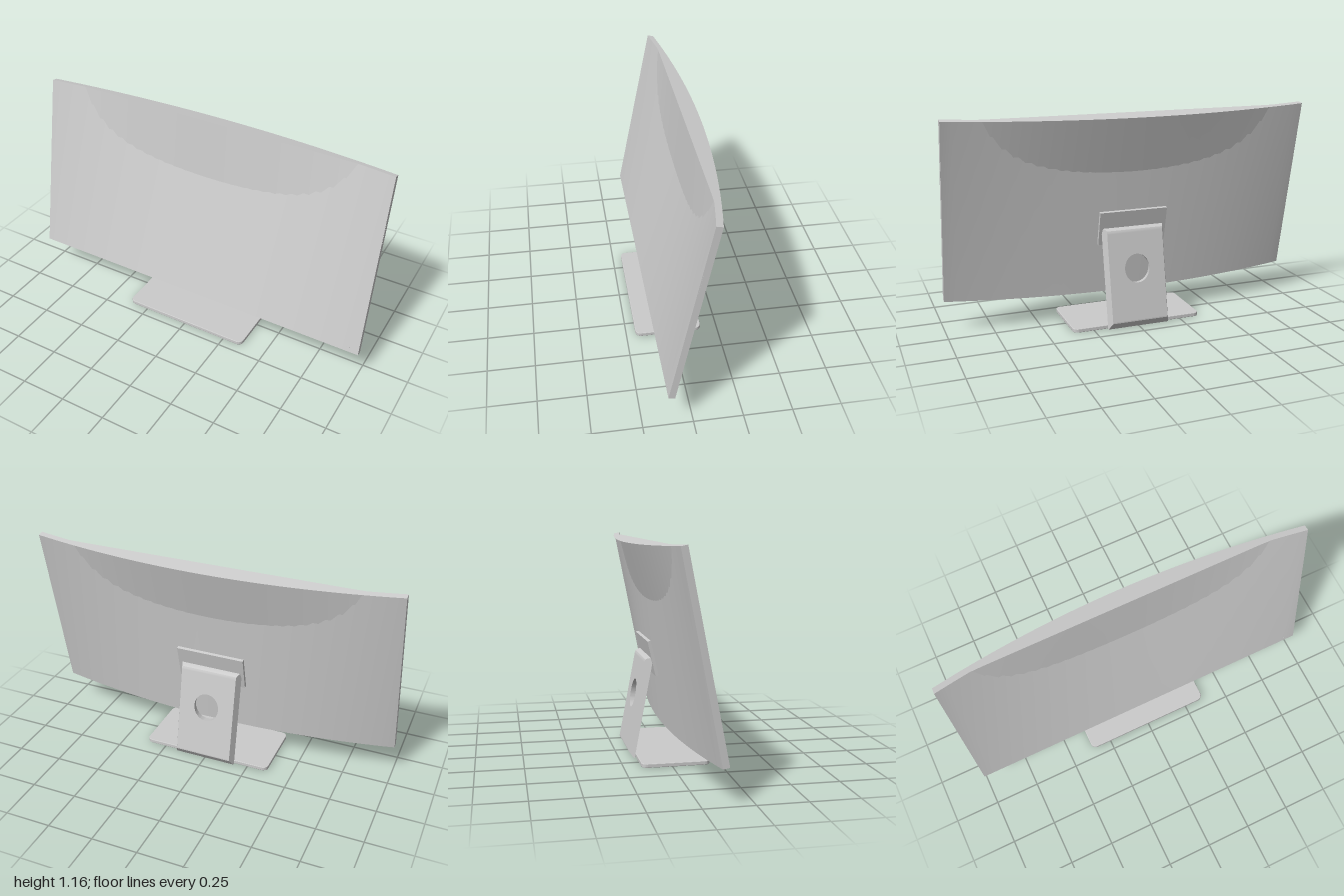
import * as THREE from 'three';
import { toCreasedNormals } from 'three/addons/utils/BufferGeometryUtils.js';

const material = new THREE.MeshStandardMaterial({ color: 0xcccccc });
const openMaterial = new THREE.MeshStandardMaterial({ color: 0xcccccc, side: THREE.DoubleSide });

function addMesh(parent, name, geometry, mat = material) {
  const mesh = new THREE.Mesh(geometry, mat);
  mesh.name = name;
  parent.add(mesh);
  return mesh;
}

// Panel in its own upright frame (front at z = 0, bottom at y = 0), swept along x.
// The front runs from a straight bottom edge to a hollow top edge, the back from
// a bulging bottom edge to a straight top edge; flat caps reach the full curve.
function panelGeometry(columns = 32) {
  const bow = 0.092, thick = 0.033, height = 1;
  const section = (x) => {
    const d = bow * (1 - x * x);
    const bottomFront = [x, 0, 0], bottomBack = [x, 0, -d - thick];
    const topFront = [x, height, -d], topBack = [x, height, -thick];
    const capFront = [x, height, -Math.min(d, thick)], capBack = [x, height, -d - thick];
    return [
      [bottomFront, topFront],  // front
      [capFront, capBack],      // top cap
      [topBack, bottomBack],    // back
      [bottomBack, bottomFront] // underside
    ];
  };
  const positions = [];
  const quad = (a, b, c, d) => positions.push(...a, ...b, ...c, ...a, ...c, ...d);
  for (let i = 0; i < columns; i++) {
    const p = section(-1 + (2 * i) / columns);
    const q = section(-1 + (2 * (i + 1)) / columns);
    p.forEach(([a, d], k) => quad(a, q[k][0], q[k][1], d));
  }
  // Narrow sides
  for (const x of [-1, 1]) {
    const [[fb, ft], , [bt, bb]] = section(x);
    if (x < 0) quad(fb, ft, bt, bb);
    else quad(fb, bb, bt, ft);
  }
  const geometry = new THREE.BufferGeometry();
  geometry.setAttribute('position', new THREE.Float32BufferAttribute(positions, 3));
  return toCreasedNormals(geometry, 0.5);
}

// Side profile of [z, y] points extruded across x
function sideProfile(points, width) {
  const shape = new THREE.Shape(points.map(([z, y]) => new THREE.Vector2(z, y)));
  const geometry = new THREE.ExtrudeGeometry(shape, { depth: width, bevelEnabled: false });
  return geometry.rotateY(-Math.PI / 2).translate(width / 2, 0, 0);
}

// Narrow a slab of half thickness t towards its back face
function narrowBack(geometry, t) {
  const pos = geometry.attributes.position;
  for (let i = 0; i < pos.count; i++) {
    pos.setX(i, pos.getX(i) * (1 - 0.1 * (t - pos.getZ(i)) / (2 * t)));
  }
  geometry.computeVertexNormals();
  return toCreasedNormals(geometry, 0.5);
}

function roundedRect(w, h, r) {
  const x = w / 2, y = h / 2, s = new THREE.Shape();
  s.absarc(x - r, y - r, r, 0, Math.PI / 2);
  s.absarc(r - x, y - r, r, Math.PI / 2, Math.PI);
  s.absarc(r - x, r - y, r, Math.PI, Math.PI * 1.5);
  s.absarc(x - r, r - y, r, Math.PI * 1.5, Math.PI * 2);
  return s;
}

export function createModel() {
  const model = new THREE.Group();
  model.name = 'monitor';

  // Screen leaning back, with its small side slot and indicator
  const screen = new THREE.Group();
  screen.name = 'screen';
  screen.position.set(0, 0.18, 0.125);
  screen.rotation.x = -0.1965;
  model.add(screen);
  addMesh(screen, 'screenPanel', panelGeometry(), openMaterial);
  addMesh(screen, 'sideSlot', new THREE.BoxGeometry(0.006, 0.095, 0.022)).position.set(0.998, 0.693, -0.015);
  addMesh(screen, 'indicator', new THREE.BoxGeometry(0.016, 0.005, 0.004)).position.set(0.94, 0.026, -0.001);

  // Mounting plate behind the screen
  const plate = addMesh(model, 'mountPlate', new THREE.BoxGeometry(0.38, 0.191, 0.017));
  plate.position.set(0, 0.536, -0.07);
  plate.rotation.x = -0.226;

  // Leaning arm: slab with a round cable hole, bevelled head and foot
  const arm = new THREE.Group();
  arm.name = 'standArm';
  arm.position.set(0, 0.04, -0.18);
  arm.rotation.x = 0.187;
  model.add(arm);
  const width = 0.35, t = 0.0195;
  const slab = new THREE.Shape([
    new THREE.Vector2(-width / 2, 0), new THREE.Vector2(width / 2, 0),
    new THREE.Vector2(width / 2, 0.475), new THREE.Vector2(-width / 2, 0.475),
  ]);
  slab.holes.push(new THREE.Path().absarc(0, 0.28, 0.078, 0, Math.PI * 2, true));
  const slabGeometry = new THREE.ExtrudeGeometry(slab,
    { depth: 2 * t, bevelEnabled: false, curveSegments: 32 }).translate(0, 0, -t);
  addMesh(arm, 'armSlab', narrowBack(slabGeometry, t));
  addMesh(arm, 'armHead', narrowBack(sideProfile(
    [[-t, 0.475], [t, 0.475], [t, 0.5], [0.015, 0.51], [-0.01, 0.499], [-0.017, 0.492], [-t, 0.482]], width), t));
  addMesh(arm, 'armFoot', narrowBack(sideProfile(
    [[-t, 0], [-0.0185, -0.006], [0.017, -0.039], [t, -0.036], [t, 0]], width), t));

  // Flat base with rounded corners and softened edges
  const e = 0.003;
  const base = new THREE.ExtrudeGeometry(roundedRect(0.73 - 2 * e, 0.36 - 2 * e, 0.028), {
    depth: 0.021 - 2 * e, bevelThickness: e, bevelSize: e, bevelSegments: 2, curveSegments: 8,
  });
  addMesh(model, 'base', toCreasedNormals(base.rotateX(-Math.PI / 2), 0.3)).position.set(0, e, 0.02);

  return model;
}
